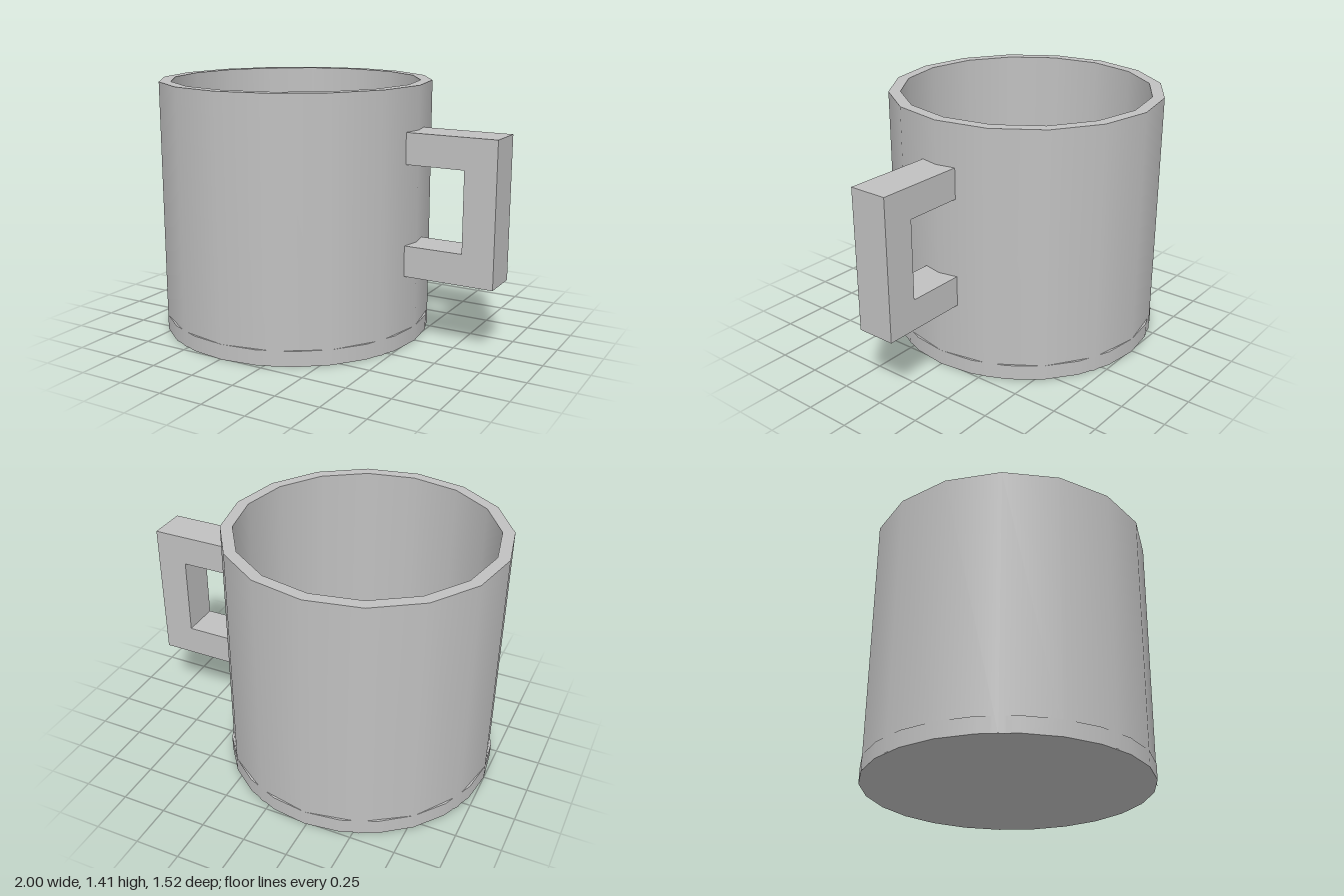
import * as THREE from 'three';

const CENTRE_X = -0.24, RADIUS = 0.76, INNER_RADIUS = 0.695, HEIGHT = 1.41, BASE_HEIGHT = 0.085;

export function createModel() {
  const group = new THREE.Group();
  const grey = new THREE.MeshStandardMaterial({ color: 0xc0c0c0 });
  grey.name = 'grey ceramic';

  function add(name, geometry, x = 0, y = 0, z = 0) {
    const mesh = new THREE.Mesh(geometry, grey);
    mesh.name = name;
    mesh.position.set(x, y, z);
    group.add(mesh);
  }

  // One band of the cup, with its own normals so the rim stays sharp
  function band(name, from, to) {
    const profile = [new THREE.Vector2(...from), new THREE.Vector2(...to)];
    add(name, new THREE.LatheGeometry(profile, 16), CENTRE_X);
  }

  // Sixteen-sided cup wall
  band('outerWall', [RADIUS, 0], [RADIUS, HEIGHT]);
  band('rim', [RADIUS, HEIGHT], [INNER_RADIUS, HEIGHT]);
  band('innerWall', [INNER_RADIUS, HEIGHT], [INNER_RADIUS, BASE_HEIGHT]);

  // Rounder base disc, also the floor inside the cup
  add('base', new THREE.CylinderGeometry(RADIUS, RADIUS, BASE_HEIGHT, 24), CENTRE_X, BASE_HEIGHT / 2);

  // Square C-shaped handle, its ends sunk into the wall
  const outline = [
    [0.48, 0.395], [1, 0.395], [1, 1.175], [0.48, 1.175],
    [0.48, 1.005], [0.825, 1.005], [0.825, 0.565], [0.48, 0.565],
  ];
  const shape = new THREE.Shape(outline.map(([x, y]) => new THREE.Vector2(x, y)));
  add('handle', new THREE.ExtrudeGeometry(shape, { depth: 0.216, bevelEnabled: false }), 0, 0, -0.108);

  return group;
}
